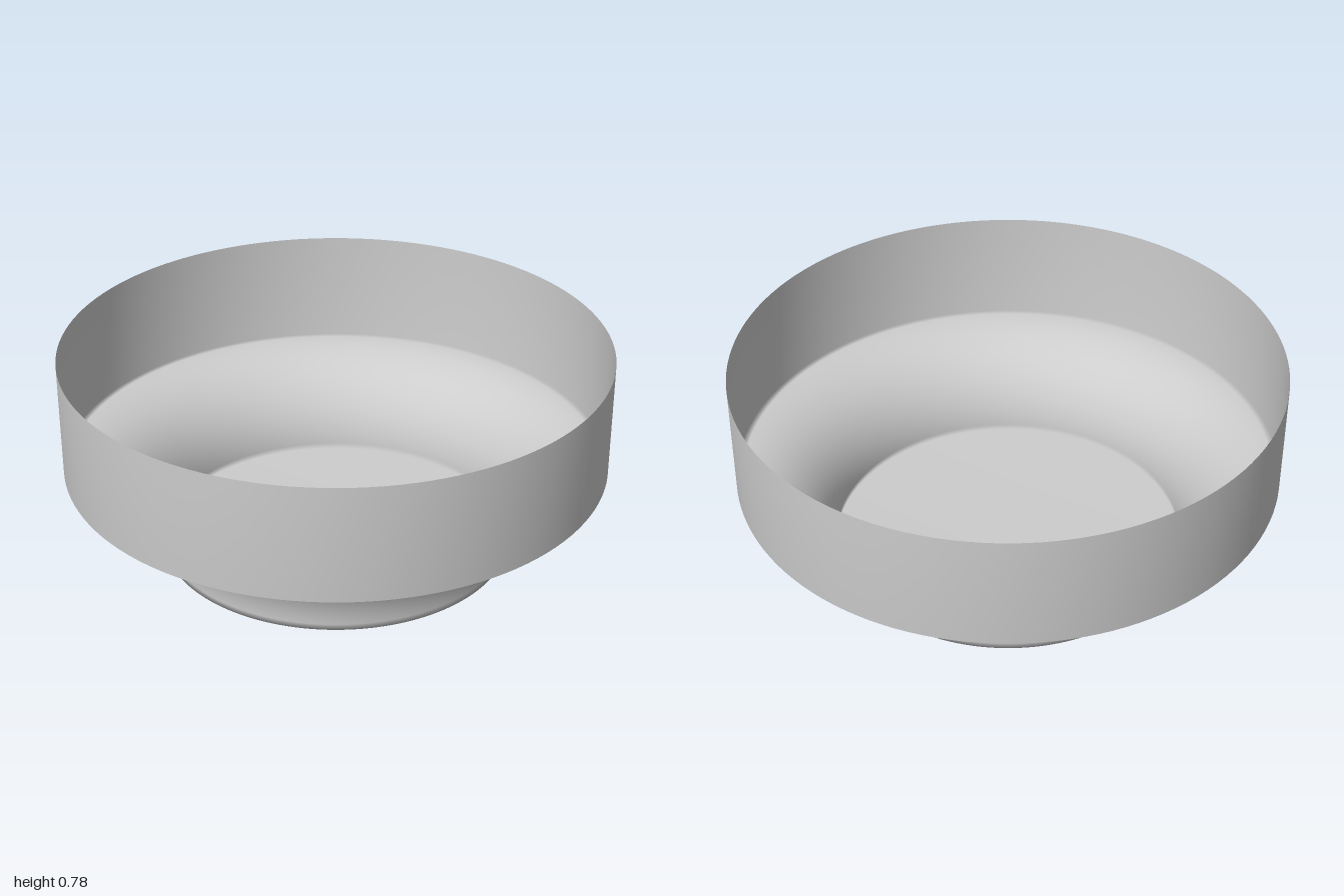
import * as THREE from 'three';

export function createModel() {
  const model = new THREE.Group();
  model.name = 'footedBowl';

  const grey = new THREE.MeshStandardMaterial({ color: 0xcccccc, side: THREE.DoubleSide });
  grey.name = 'light grey';

  // Profile: flat floor, concave quarter-round foot, straight wall
  const cove = 0.35;
  const steps = 24;
  const profile = [new THREE.Vector2(0, 0)];
  for (let i = 0; i <= steps; i++) {
    const a = (i / steps) * Math.PI / 2;
    profile.push(new THREE.Vector2(1 - cove * Math.cos(a), cove * Math.sin(a)));
  }
  profile.push(new THREE.Vector2(1, 0.78));

  // One thin, smooth turned shell, open at the top
  const bowl = new THREE.Mesh(new THREE.LatheGeometry(profile, 128), grey);
  bowl.name = 'bowlShell';
  model.add(bowl);

  return model;
}
